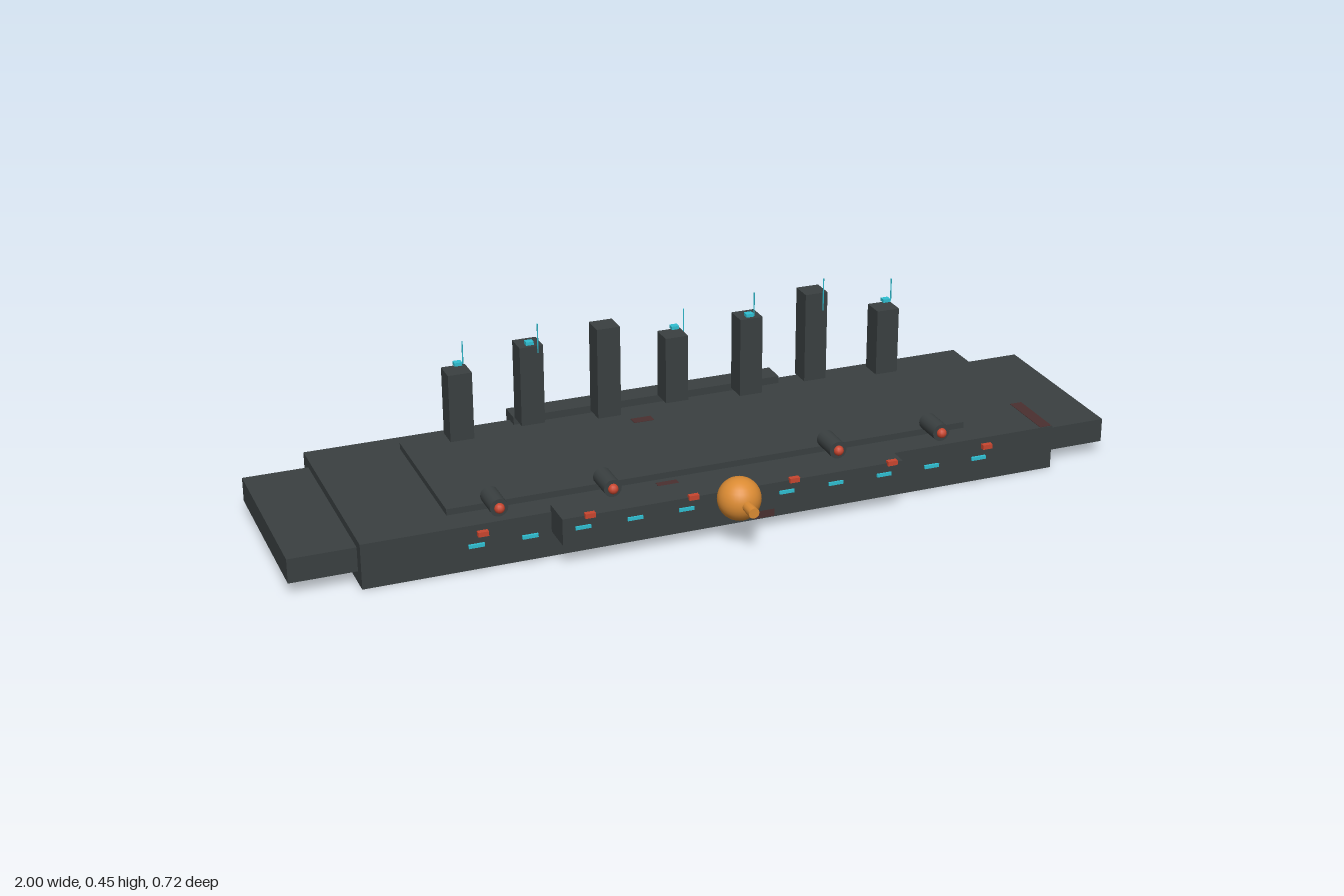
import * as THREE from 'three';

const mat = (name, color) => {
  const m = new THREE.MeshStandardMaterial({ color });
  m.name = name;
  return m;
};

export function createModel() {
  const hullGrey = mat('hullGrey', 0x3a4041);
  const orange = mat('orange', 0xdb8b33);
  const red = mat('red', 0xc8462f);
  const cyan = mat('cyan', 0x2fbfd2);
  const rust = mat('rust', 0x4a3030);
  const teal = mat('teal', 0x224a4b);

  const root = new THREE.Group();
  root.name = 'ship';
  // the whole craft sits very slightly turned about the vertical axis
  const ship = new THREE.Group();
  ship.name = 'body';
  ship.rotation.y = -0.018;
  root.add(ship);

  const add = (name, geo, material, x, y, z) => {
    const m = new THREE.Mesh(geo, material);
    m.name = name;
    m.position.set(x, y, z);
    ship.add(m);
    return m;
  };
  // box from its min and max on each axis
  const box = (name, material, x0, x1, y0, y1, z0, z1) =>
    add(name, new THREE.BoxGeometry(x1 - x0, y1 - y0, z1 - z0), material,
      (x0 + x1) / 2, (y0 + y1) / 2, (z0 + z1) / 2);

  // hull blocks
  box('mainHull', hullGrey, -0.842, 0.842, 0, 0.108, -0.33, 0.18);
  for (const s of [-1, 1]) {
    const [a, b] = s < 0 ? [-0.996, -0.84] : [0.84, 0.996];
    box('endWing', hullGrey, a, b, 0.03, 0.088, -0.288, 0.15);
  }
  box('deckPlate', hullGrey, -0.633, 0.633, 0.115, 0.13, -0.251, 0.126);
  box('frontBlock', hullGrey, -0.41, 0.41, 0.06, 0.124, 0.176, 0.256);
  box('rearBlock', hullGrey, -0.342, 0.342, 0.06, 0.127, -0.356, -0.297);

  // row of floating towers with lights and antennas
  const tops = [0.352, 0.382, 0.41];
  const antennaTops = [0.425, 0.44, 0.41, 0.425, 0.44, 0.45, 0.425];
  for (let i = 0; i < 7; i++) {
    const x = (i - 3) * 0.1767;
    const z = i % 2 ? -0.135 : -0.11;
    const top = tops[i % 3];
    box('tower', hullGrey, x - 0.028, x + 0.028, 0.19, top, z - 0.027, z + 0.027);
    if (i % 3 !== 2) {
      const y = i % 3 ? 0.386 : 0.372;
      box('towerLight', cyan, x - 0.009, x + 0.009, y - 0.004, y + 0.004, z + 0.002, z + 0.018);
    }
    const h = antennaTops[i] - 0.37;
    add('antenna', new THREE.CylinderGeometry(0.0015, 0.0015, h, 6), cyan,
      x + 0.012, 0.37 + h / 2, -0.097);
  }

  // deck cannons with glowing muzzles
  const cannonGeo = new THREE.CylinderGeometry(0.021, 0.021, 0.072, 16).rotateX(Math.PI / 2);
  const muzzleGeo = new THREE.SphereGeometry(0.012, 12, 8);
  for (const x of [-0.535, -0.273, 0.273, 0.535]) {
    add('cannon', cannonGeo, hullGrey, x, 0.15, 0.165);
    add('cannonMuzzle', muzzleGeo, red, x, 0.15, 0.203);
  }

  // main orb gun
  add('orb', new THREE.SphereGeometry(0.05, 32, 16), orange, -0.003, 0.112, 0.277);
  add('orbBarrel', new THREE.CylinderGeometry(0.0125, 0.0125, 0.07, 12).rotateX(Math.PI / 2),
    orange, -0.003, 0.113, 0.327);

  // floating light strips along the front
  for (let i = 0; i < 11; i++) {
    const x = -0.605 + i * 0.121;
    box('frontLight', cyan, x - 0.018, x + 0.018, 0.094, 0.102, 0.254, 0.26);
  }
  for (let i = 0; i < 6; i++) {
    const x = -0.59 + i * 0.243;
    box('signalLight', red, x - 0.012, x + 0.012, 0.119, 0.13, 0.251, 0.263);
  }

  // stains and tinted patches
  const e = 0.001;
  box('rustPatchFront', rust, 0.075, 0.125, 0.002, 0.06, 0.18, 0.18 + e);
  box('rustPatchEnd', rust, 0.842, 0.842 + e, 0.089, 0.107, -0.28, -0.224);
  box('rustPatchDeckEnd', rust, 0.81, 0.84, 0.108, 0.108 + e, 0.03, 0.178);
  box('rustPatchDeckFront', rust, -0.145, -0.095, 0.108, 0.108 + e, 0.128, 0.175);
  box('rustPatchPlate', rust, -0.09, -0.04, 0.13, 0.13 + e, -0.18, -0.155);
  box('tealPatchEnd', teal, 0.842, 0.842 + e, 0.012, 0.028, -0.135, 0.1);
  box('tealPatchEndRear', teal, 0.842, 0.842 + e, 0.005, 0.028, -0.27, -0.243);
  box('tealPatchWing', teal, 0.845, 0.87, 0.03 - e, 0.03, -0.28, 0.13);

  return root;
}
